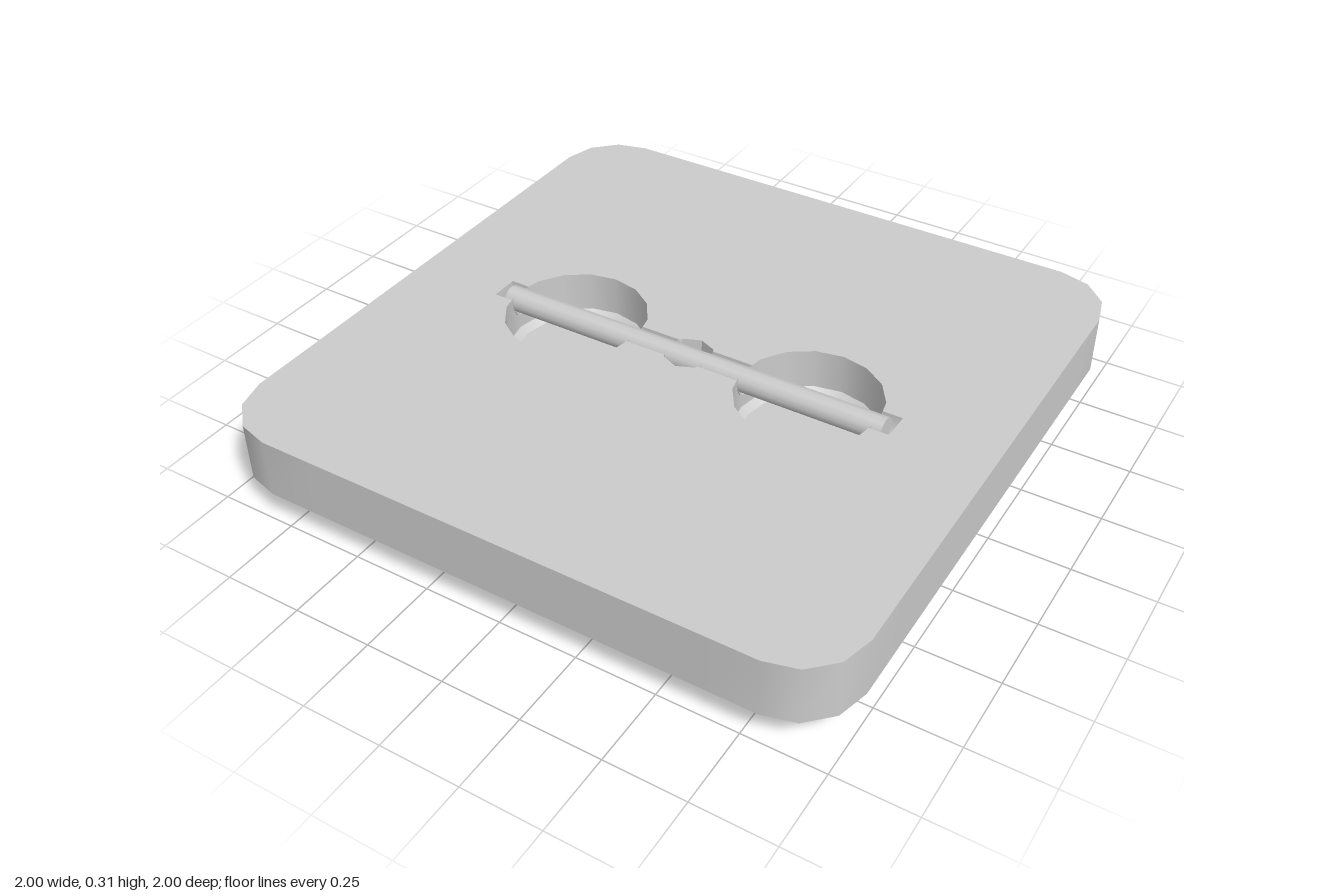
import * as THREE from 'three';

const TOP = 0.29, SKIRT = 0.1, ZC = 0.012;
const CUP_X = 0.41, CUP_R = 0.225, CUP_N = 16;
const PIN_R = 0.077, PIN_N = 8;
const GROOVE = 0.045, GROOVE_END = 0.69, GROOVE_DEPTH = 0.08;

const sheet = new THREE.MeshStandardMaterial({ color: 0xcccccc, side: THREE.DoubleSide });
const faceted = new THREE.MeshStandardMaterial({ color: 0xcccccc, side: THREE.DoubleSide, flatShading: true });

// Half length of a polygon's chord where the groove's edge crosses it
function neck(r, n) {
  const a = (Math.PI * 2) / n;
  return r - (GROOVE / (r * Math.sin(a))) * r * (1 - Math.cos(a));
}

// Rounded square, counterclockwise
function plateOutline() {
  const pts = [], r = 0.2;
  for (let c = 0; c < 4; c++) {
    const corner = [[1, -0.62]];
    corner.length = 0;
    corner.push(new THREE.Vector2(1, 0.62));
    for (let i = 0; i <= 3; i++) {
      const a = (i / 3) * Math.PI / 2;
      corner.push(new THREE.Vector2(0.8 + r * Math.cos(a), 0.8 + r * Math.sin(a)));
    }
    corner.push(new THREE.Vector2(0.62, 1));
    corner.forEach(p => pts.push(p.rotateAround(new THREE.Vector2(), c * Math.PI / 2)));
  }
  return pts;
}

// Joined opening of the two cups, the pin socket and the groove
function openingOutline() {
  const half = [[GROOVE_END, GROOVE]];
  for (const [cx, r, n] of [[CUP_X, CUP_R, CUP_N], [0, PIN_R, PIN_N], [-CUP_X, CUP_R, CUP_N]]) {
    const k = neck(r, n);
    half.push([cx + k, GROOVE]);
    for (let i = 1; i < n / 2; i++) {
      const a = (i * Math.PI * 2) / n;
      half.push([cx + r * Math.cos(a), r * Math.sin(a)]);
    }
    half.push([cx - k, GROOVE]);
  }
  half.push([-GROOVE_END, GROOVE]);
  const other = half.map(([x, y]) => [x, -y]).reverse();
  return [...half, ...other].map(([x, y]) => new THREE.Vector2(x, y - ZC));
}

function skirtGeometry(outline) {
  const pos = [], index = [], n = outline.length;
  outline.forEach((p, i) => {
    pos.push(p.x, TOP, -p.y, p.x, SKIRT, -p.y);
    const a = 2 * i, b = 2 * ((i + 1) % n);
    index.push(a, a + 1, b, b, a + 1, b + 1);
  });
  const g = new THREE.BufferGeometry();
  g.setAttribute('position', new THREE.Float32BufferAttribute(pos, 3));
  g.setIndex(index);
  g.computeVertexNormals();
  return g;
}

// Cup hanging below the plate, profile from floor centre to rim
function cupGeometry(profile, sides) {
  return new THREE.LatheGeometry(profile.map(([r, y]) => new THREE.Vector2(r, y)), sides);
}

export function createModel() {
  const group = new THREE.Group();
  const add = (name, geometry, material, x = 0, y = 0, z = 0) => {
    const mesh = new THREE.Mesh(geometry, material);
    mesh.name = name;
    mesh.position.set(x, y, z);
    group.add(mesh);
    return mesh;
  };

  // Cover plate and its open-bottomed skirt
  const outline = plateOutline();
  const shape = new THREE.Shape(outline);
  shape.holes.push(new THREE.Path(openingOutline()));
  add('topPlate', new THREE.ShapeGeometry(shape).rotateX(-Math.PI / 2), sheet, 0, TOP);
  add('skirt', skirtGeometry(outline), sheet);

  // Central locking pin
  const pin = [[0, 0], [0.055, 0], [PIN_R, 0.022], [PIN_R, TOP]];
  add('centrePin', cupGeometry(pin, PIN_N), faceted, 0, 0, ZC);

  // Finger cups and groove pieces, mirrored
  const cup = [[0, 0.14], [0.2, 0.14], [0.2, 0.14], [CUP_R, 0.158], [CUP_R, 0.158], [CUP_R, TOP]];
  const cupNeck = neck(CUP_R, CUP_N);
  for (const [side, s] of [['left', 1], ['right', -1]]) {
    add(side + 'FingerCup', cupGeometry(cup, CUP_N), sheet, s * CUP_X, 0, ZC);
    for (const [part, from, to] of [
      ['InnerGroove', neck(PIN_R, PIN_N), CUP_X - cupNeck],
      ['OuterGroove', CUP_X + cupNeck, GROOVE_END],
    ]) {
      const g = new THREE.CylinderGeometry(GROOVE, GROOVE, to - from, 6, 1, true, Math.PI, Math.PI);
      g.rotateZ(Math.PI / 2).scale(1, GROOVE_DEPTH / GROOVE, 1);
      add(side + part, g, sheet, s * (from + to) / 2, TOP, ZC);
    }
    const end = new THREE.CircleGeometry(GROOVE, 6, Math.PI, Math.PI);
    end.rotateY(s * Math.PI / 2).scale(1, GROOVE_DEPTH / GROOVE, 1);
    add(side + 'GrooveEnd', end, sheet, s * GROOVE_END, TOP, ZC);
  }

  // Lifting bar lying in the groove
  const bar = new THREE.CylinderGeometry(0.04, 0.04, 1.32, 12).rotateZ(Math.PI / 2);
  add('liftingBar', bar, sheet, 0, 0.265, ZC);

  return group;
}
